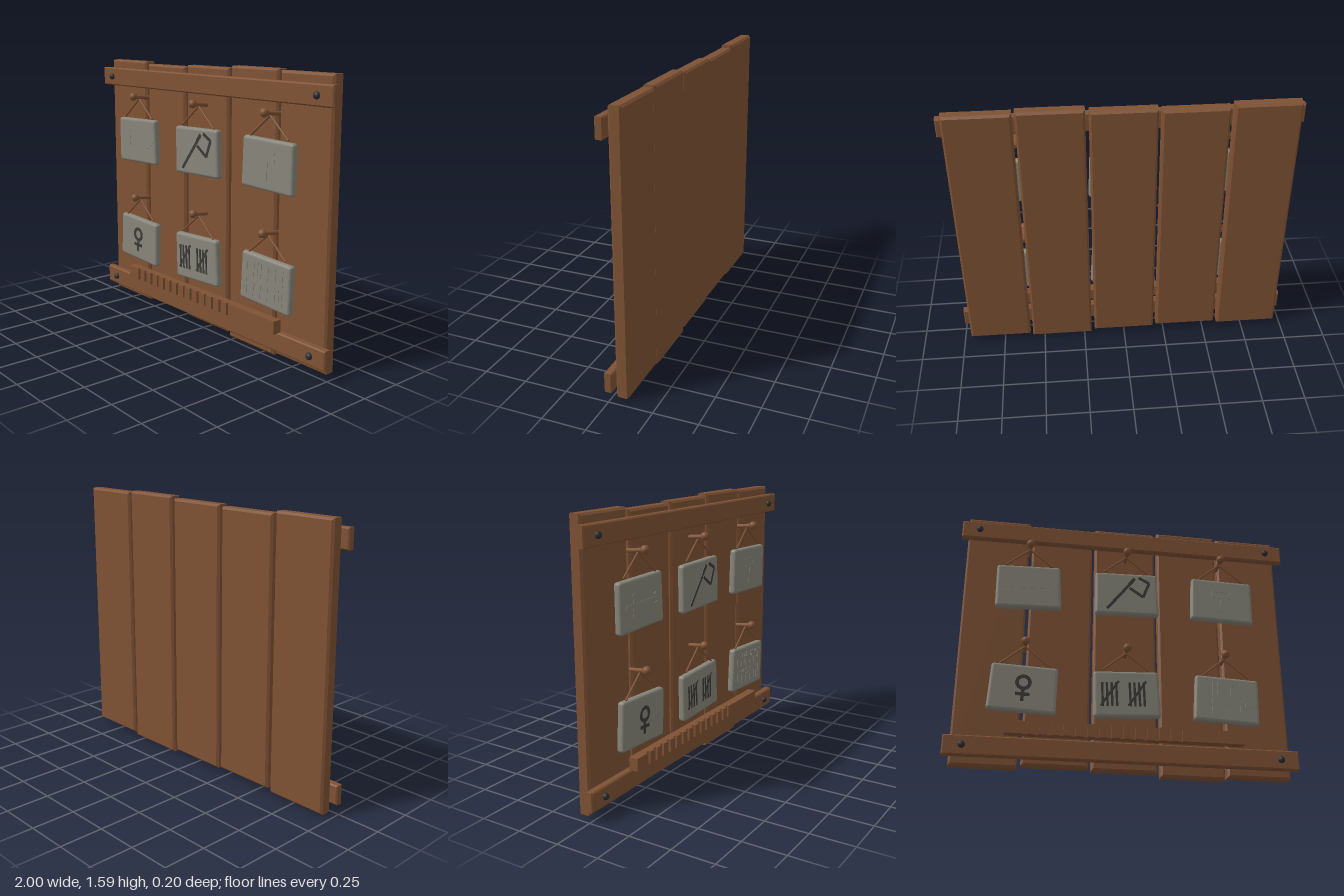
import * as THREE from 'three';
import { RoundedBoxGeometry } from 'three/addons/geometries/RoundedBoxGeometry.js';

const mat = (name, color) => {
  const m = new THREE.MeshStandardMaterial({ color });
  m.name = name;
  return m;
};

export function createModel() {
  const wood = mat('wood', 0x7f5234);
  const stone = mat('stone', 0x87857a);
  const ink = mat('dark carving', 0x3a3a37);
  const iron = mat('iron', 0x2c2e31);
  const root = new THREE.Group();
  root.name = 'noticeBoard';

  const add = (parent, name, geo, material, x = 0, y = 0, z = 0) => {
    const m = new THREE.Mesh(geo, material);
    m.name = name;
    m.position.set(x, y, z);
    parent.add(m);
    return m;
  };

  // Box with chamfered edges, centred on its origin
  const chamferBox = (w, h, d, b) => {
    const x = w / 2 - b, y = h / 2 - b;
    const s = new THREE.Shape([[-x, -y], [x, -y], [x, y], [-x, y]].map(p => new THREE.Vector2(...p)));
    const g = new THREE.ExtrudeGeometry(s, {
      depth: d - 2 * b, bevelThickness: b, bevelSize: b, bevelSegments: 1,
    });
    return g.translate(0, 0, b - d / 2);
  };

  // Round rod between two points
  const rod = (parent, name, a, b, r, material) => {
    const from = new THREE.Vector3(...a), to = new THREE.Vector3(...b);
    const dir = to.clone().sub(from);
    const m = add(parent, name, new THREE.CylinderGeometry(r, r, dir.length(), 10), material);
    m.position.copy(from).add(to).multiplyScalar(0.5);
    m.quaternion.setFromUnitVectors(new THREE.Vector3(0, 1, 0), dir.normalize());
  };

  // Back planks: centre x, bottom, top
  [[-0.778, 0.015, 1.58], [-0.388, 0.03, 1.565], [0, 0.02, 1.575], [0.39, 0, 1.588], [0.776, 0.015, 1.58]]
    .forEach(([x, y0, y1]) =>
      add(root, 'plank', chamferBox(0.37, y1 - y0, 0.075, 0.012), wood, x, (y0 + y1) / 2, -0.0625));

  // Cross rails with bolts
  for (const y of [1.475, 0.115]) {
    add(root, 'rail', chamferBox(2, 0.112, 0.046, 0.007), wood, 0, y, 0);
    for (const x of [-0.895, 0.895]) {
      const bolt = add(root, 'bolt', new THREE.SphereGeometry(0.02, 14, 10), iron, x, y, 0.027);
      bolt.scale.z = 0.9;
    }
  }

  // Notched tally stick: comb outline in plan, extruded upward
  const back = 0.018, front = 0.072, cut = 0.058;
  const comb = [[-0.674, -back], [-0.674, -front]];
  for (let i = 0; i < 14; i++) {
    const x = -0.575 + i * 0.0665;
    comb.push([x, -front], [x, -cut], [x + 0.024, -cut], [x + 0.024, -front]);
  }
  comb.push([0.674, -front], [0.674, -back]);
  const stickGeo = new THREE.ExtrudeGeometry(
    new THREE.Shape(comb.map(p => new THREE.Vector2(...p))), { depth: 0.074, bevelEnabled: false });
  add(root, 'tallyStick', stickGeo.rotateX(-Math.PI / 2), wood, 0, 0.178, 0);

  // Signs as strokes [x0, y0, x1, y1] in hundredths, relative to the tablet centre
  const arrow = [[-14.5, 0, 14, 0], [-7.5, -6.5, -7.5, 6.5], [16.5, 0, 11, 3.2], [16.5, 0, 11, -3.2]];
  const axe = [[-12, -10.5, 5, 10], [1.5, 6.5, 5, 10.5], [7.5, 11, 13.8, 7.5], [13.8, 7.5, 9.8, -2],
    [9.8, -2, 1.8, 3.8]];
  const hammer = [[-6, 6.5, 6, 6.5], [-6, 2.5, 6, 2.5], [-5.2, 2, -5.2, 7], [5.2, 2, 5.2, 7], [0, 2, 0, -8]];
  const venus = [[0, -0.5, 0, -8], [-4, -3.8, 4, -3.8]];
  const tally = [];
  for (const x of [-14, 1.8]) {
    for (let i = 0; i < 4; i++) tally.push([x + i * 2.7, -7.5, x + i * 2.7, 6.8]);
    tally.push([x - 1.2, -7.2, x + 9.6, 7.6]);
  }
  // Each rune is a stem with a few short branches
  const branches = [
    [[0, 4, 3, 1]], [[0, 4, 3, 0], [3, -4.5, 3, 4.5]], [[-2, 2, 2, -1]],
    [[0, 4, 2.5, 1.5], [2.5, 1.5, 0, -0.5]], [[0, 1, 2.6, 4], [0, 1, -2.6, 4]], [[0, -4, -2.5, -1]],
  ];
  const runes = [];
  for (const [row, cy] of [[0, 5.8], [1, -5.3]]) {
    for (let i = 0; i < 6; i++) {
      const cx = -14 + i * 5.5;
      runes.push([cx, cy - 4.5, cx, cy + 4.5]);
      for (const [a, b, c, d] of branches[row ? 5 - i : i]) runes.push([cx + a, cy + b, cx + c, cy + d]);
    }
  }

  // Hanging tablets: x, centre y, tilt in degrees, strokes, stroke width, colour
  const tablets = [
    [-0.585, 1.09, 1.5, arrow, 0.022, stone],
    [0, 1.09, 1.5, axe, 0.017, ink],
    [0.585, 1.09, -1.5, hammer, 0.02, stone],
    [-0.585, 0.447, -2.5, venus, 0.019, ink],
    [0, 0.447, 2.5, tally, 0.013, ink],
    [0.585, 0.447, -2.5, runes, 0.009, stone],
  ];
  const slab = new RoundedBoxGeometry(0.38, 0.277, 0.046, 3, 0.017);
  const p = slab.attributes.position;
  for (let i = 0; i < p.count; i++) p.setX(i, p.getX(i) * (1 - 0.09 * p.getY(i)));
  slab.computeVertexNormals();

  for (const [x, y, tilt, strokes, width, colour] of tablets) {
    const hang = new THREE.Group();
    hang.name = 'hangingTablet';
    hang.position.set(x, y, 0);
    root.add(hang);

    // Peg and two cords
    rod(hang, 'peg', [0, 0.265, -0.04], [0, 0.277, 0.08], 0.012, wood);
    add(hang, 'pegKnob', new THREE.SphereGeometry(0.025, 16, 12), wood, 0, 0.278, 0.08);
    for (const s of [-1, 1]) rod(hang, 'cord', [0, 0.262, 0.036], [s * 0.14, 0.145, 0.042], 0.006, wood);

    // Stone slab with its sign
    const plate = new THREE.Group();
    plate.name = 'tablet';
    plate.position.z = 0.038;
    plate.rotation.z = THREE.MathUtils.degToRad(tilt);
    hang.add(plate);
    add(plate, 'slab', slab, stone);
    for (const stroke of strokes) {
      const [x0, y0, x1, y1] = stroke.map(v => v / 100);
      const bar = add(plate, 'signStroke',
        new THREE.BoxGeometry(Math.hypot(x1 - x0, y1 - y0), width, 0.006),
        colour, (x0 + x1) / 2, (y0 + y1) / 2, 0.0225);
      bar.rotation.z = Math.atan2(y1 - y0, x1 - x0);
    }
    if (strokes === venus) {
      const ring = new THREE.Shape().absarc(0, 0, 0.046, 0, Math.PI * 2);
      ring.holes.push(new THREE.Path().absarc(0, 0, 0.026, 0, Math.PI * 2, true));
      add(plate, 'signRing', new THREE.ExtrudeGeometry(ring, { depth: 0.006, bevelEnabled: false, curveSegments: 16 }),
        ink, 0, 0.032, 0.0195);
    }
  }
  return root;
}
